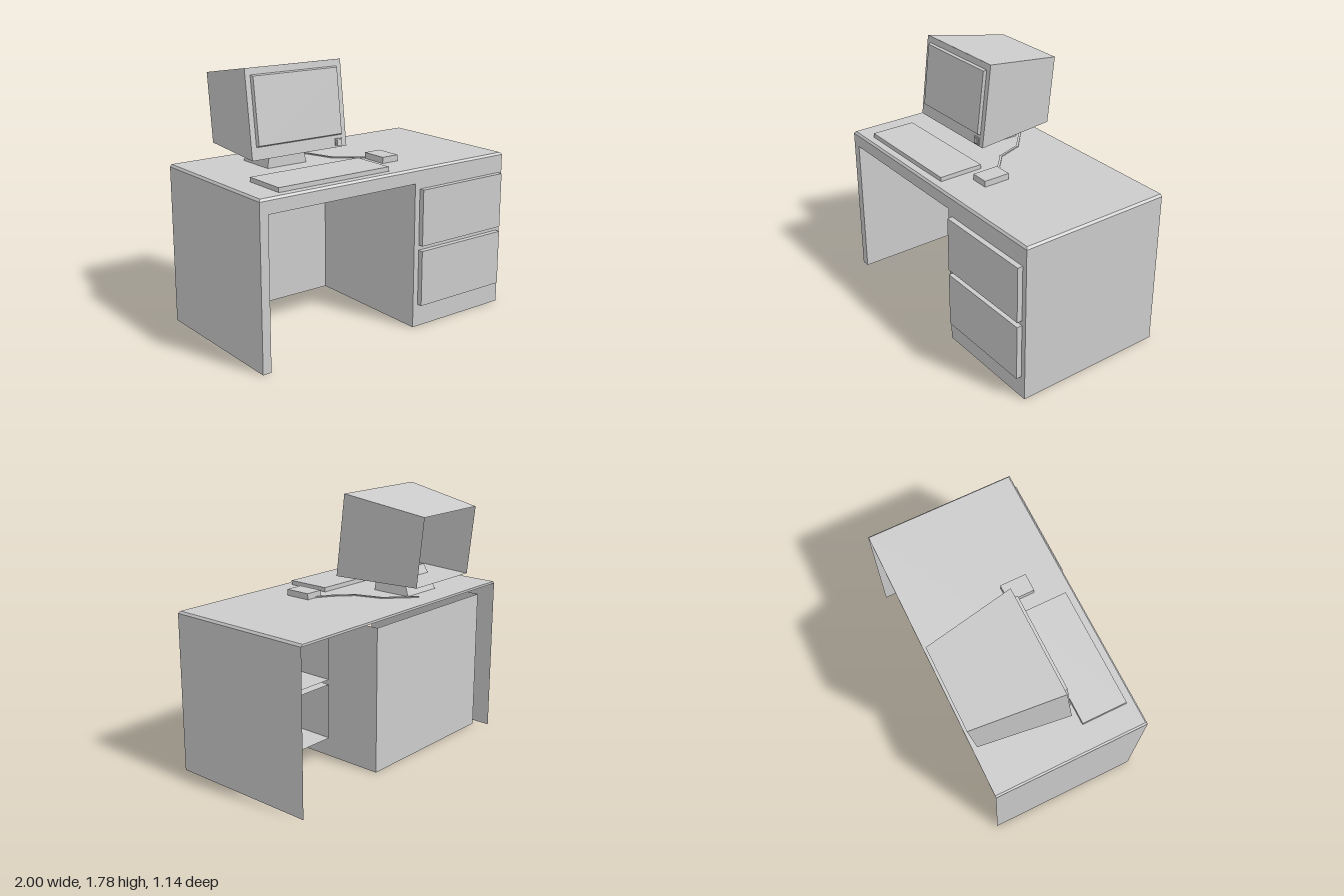
import * as THREE from 'three';

const grey = new THREE.MeshStandardMaterial({ color: 0xcccccc, flatShading: true, side: THREE.DoubleSide });

// Rectangular rings of four corners: upright (facing +z) and level (facing +y)
const ringZ = (x0, x1, y0, y1, z) => [[x0, y0, z], [x1, y0, z], [x1, y1, z], [x0, y1, z]];
const ringY = (x0, x1, z0, z1, y) => [[x0, y, z1], [x1, y, z1], [x1, y, z0], [x0, y, z0]];

// Four quads joining two rings
const loft = (a, b) => a.map((p, i) => [p, a[(i + 1) % 4], b[(i + 1) % 4], b[i]]);

// Wall lying in a plane of constant x
const wallX = (x, y0, y1, z0, z1) => [[x, y0, z1], [x, y0, z0], [x, y1, z0], [x, y1, z1]];

// Mesh made of flat quads
function sheet(name, quads) {
  const pos = quads.flatMap(([a, b, c, d]) => [a, b, c, a, c, d]).flat();
  const g = new THREE.BufferGeometry();
  g.setAttribute('position', new THREE.Float32BufferAttribute(pos, 3));
  g.computeVertexNormals();
  const m = new THREE.Mesh(g, grey);
  m.name = name;
  return m;
}

function box(name, x0, x1, y0, y1, z0, z1) {
  const m = new THREE.Mesh(new THREE.BoxGeometry(x1 - x0, y1 - y0, z1 - z0), grey);
  m.position.set((x0 + x1) / 2, (y0 + y1) / 2, (z0 + z1) / 2);
  m.name = name;
  return m;
}

const FRONT = 0.535, BACK = -0.545, UNDER = 1.085, TOP = 1.1;
const KNEE0 = -0.94, KNEE1 = 0.2, KNEE_TOP = 1.0, KNEE_BACK = -0.45;

function createDesk() {
  const desk = new THREE.Group();
  desk.name = 'desk';

  // Top plate with bevelled front and side edges
  const low = ringY(-1, 1, BACK, FRONT, UNDER);
  const high = ringY(-0.988, 0.988, BACK, FRONT - 0.012, TOP);
  desk.add(sheet('deskTop', [...loft(low, high), high, [...low].reverse()]));

  // Outer side walls and the knee space lining
  desk.add(sheet('leftSide', [wallX(1, 0, UNDER, BACK, FRONT)]));
  desk.add(sheet('rightSide', [[...wallX(-1, 0, UNDER, BACK, FRONT)].reverse()]));
  desk.add(sheet('kneeSpace', [
    wallX(KNEE0, 0, KNEE_TOP, KNEE_BACK, FRONT),
    [...wallX(KNEE1, 0, KNEE_TOP, KNEE_BACK, FRONT)].reverse(),
    ringZ(KNEE0, KNEE1, 0, KNEE_TOP, KNEE_BACK),
  ]));

  // Front frame around the knee space and the two drawers
  const rows = [[0.155, 0.54, 0, 0.557], [0.575, 0.96, 0.557, UNDER]];
  const frame = [
    ringZ(-1, KNEE0, 0, UNDER, FRONT),
    ringZ(KNEE0, KNEE1, KNEE_TOP, UNDER, FRONT),
  ];
  for (const [y0, y1, f0, f1] of rows) {
    frame.push(...loft(ringZ(KNEE1, 1, f0, f1, FRONT), ringZ(0.24, 0.965, y0, y1, FRONT)));
    // Drawer boxes, open at the back
    const face = ringZ(0.24, 0.965, y0, y1, 0.572);
    desk.add(sheet('drawer', [...loft(ringZ(0.24, 0.965, y0, y1, -0.07), face), face]));
  }
  desk.add(sheet('frontFrame', frame));
  return desk;
}

function createMonitor() {
  const monitor = new THREE.Group();
  monitor.name = 'monitor';
  const cx = -0.398, hw = 0.367, bw = 0.286;

  // Tapered housing, open at the back
  const back = [[cx - bw, 1.21, -0.52], [cx + bw, 1.21, -0.52], [cx + bw, 1.68, -0.572], [cx - bw, 1.68, -0.572]];
  const front = [[cx - hw, 1.21, 0.1], [cx + hw, 1.21, 0.1], [cx + hw, 1.78, 0.03], [cx - hw, 1.78, 0.03]];
  monitor.add(sheet('housing', loft(back, front)));

  // Tilted face: bezel, raised screen and power button
  const face = new THREE.Group();
  face.name = 'face';
  face.position.set(cx, 1.21, 0.1);
  face.rotation.x = -Math.atan2(0.07, 0.57);
  const hole = ringZ(-0.33, 0.33, 0.08, 0.53, 0);
  const glass = ringZ(-0.322, 0.322, 0.088, 0.522, 0.02);
  face.add(sheet('bezel', loft(ringZ(-hw, hw, 0, 0.574, 0), hole)));
  face.add(sheet('screen', [...loft(hole, glass), glass]));
  face.add(box('buttonSurround', 0.276, 0.328, 0.008, 0.058, -0.02, 0.008));
  face.add(box('powerButton', 0.285, 0.319, 0.016, 0.05, -0.03, 0.014));
  monitor.add(face);

  // Stand narrowing upwards into the housing
  const foot = ringY(cx - 0.153, cx + 0.153, -0.35, -0.06, TOP);
  const head = ringY(cx - 0.122, cx + 0.122, -0.273, -0.065, 1.27);
  monitor.add(sheet('stand', [...loft(foot, head), head]));
  return monitor;
}

// Flat cable lying on the desk, bent at each point
function createCable() {
  const cable = new THREE.Group();
  cable.name = 'mouseCable';
  const path = [[0.19, 0.11], [0.077, 0.047], [-0.04, -0.06], [-0.1, -0.245], [-0.28, -0.41]];
  for (let i = 1; i < path.length; i++) {
    const [x0, z0] = path[i - 1], [x1, z1] = path[i];
    const seg = box('cableSegment', 0, Math.hypot(x1 - x0, z1 - z0) + 0.008, 0, 0.007, 0, 0.016);
    seg.position.set((x0 + x1) / 2, TOP + 0.0035, (z0 + z1) / 2);
    seg.rotation.y = -Math.atan2(z1 - z0, x1 - x0);
    cable.add(seg);
  }
  return cable;
}

export function createModel() {
  const model = new THREE.Group();
  model.name = 'computerDesk';
  model.add(createDesk(), createMonitor(), createCable());
  model.add(box('keyboard', -0.823, 0.025, TOP, 1.13, 0.155, 0.472));
  model.add(box('mouse', 0.128, 0.257, TOP, 1.142, 0.1, 0.288));
  return model;
}
